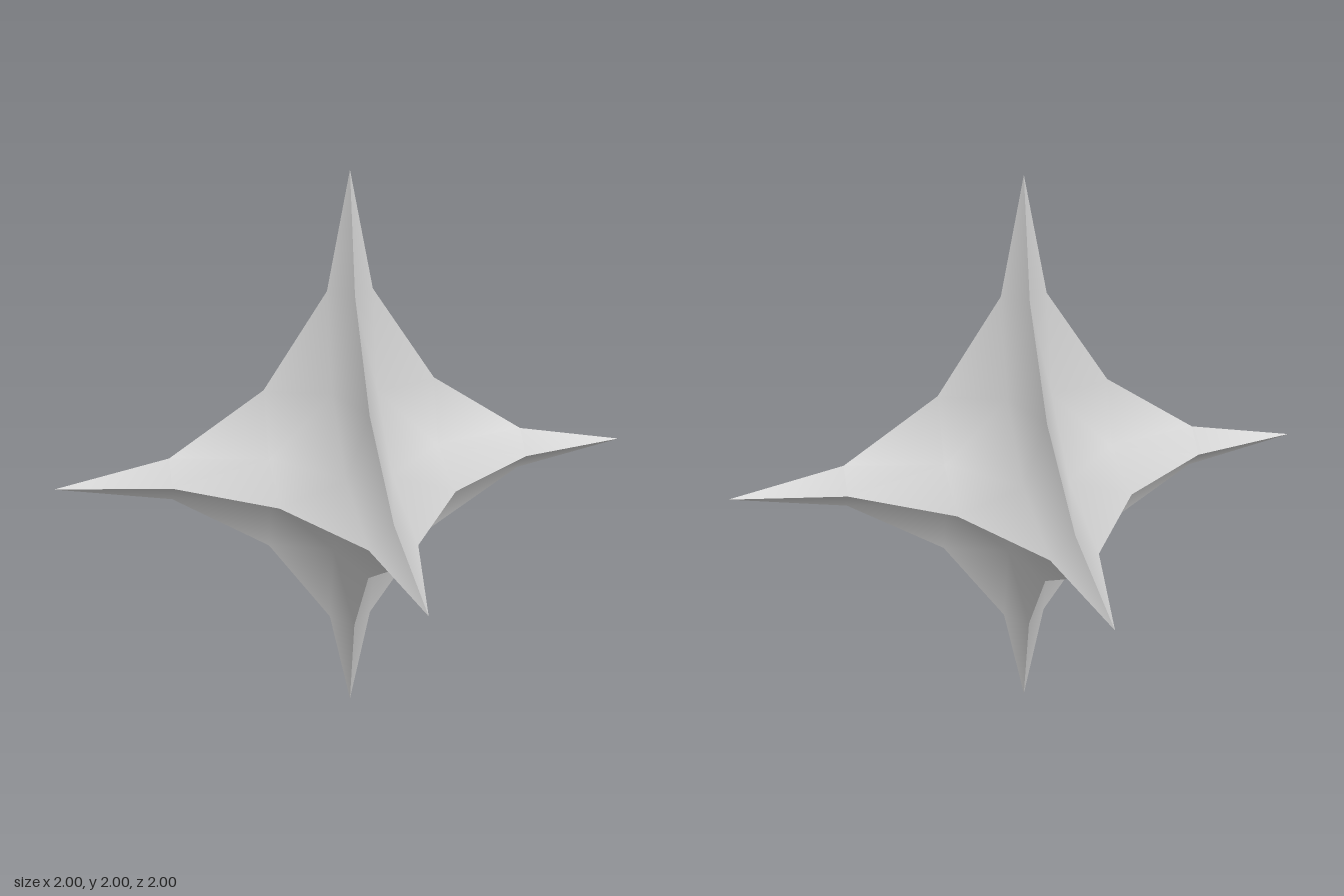
import * as THREE from 'three';

const STEPS = 4; // segments along each curved edge

// Quarter-circle profile: every edge between two tips follows it
const arc = n => 1 - Math.cos((n / STEPS) * Math.PI / 2);

// One deeply concave triangular face, mirrored into its octant by the signs
function concaveFace(sx, sy, sz) {
  const positions = [], index = [], ids = {};

  for (let i = 0; i <= STEPS; i++) {
    for (let j = 0; j <= STEPS - i; j++) {
      ids[`${i},${j}`] = positions.length / 3;
      positions.push(sx * arc(i), sy * arc(j), sz * arc(STEPS - i - j));
    }
  }

  const id = (i, j) => ids[`${i},${j}`];
  const mirrored = sx * sy * sz < 0;
  const triangle = (a, b, c) => index.push(...(mirrored ? [a, c, b] : [a, b, c]));
  for (let i = 0; i < STEPS; i++) {
    for (let j = 0; j < STEPS - i; j++) {
      triangle(id(i + 1, j), id(i, j + 1), id(i, j));
      if (i + j < STEPS - 1) triangle(id(i + 1, j), id(i + 1, j + 1), id(i, j + 1));
    }
  }

  const geometry = new THREE.BufferGeometry();
  geometry.setAttribute('position', new THREE.Float32BufferAttribute(positions, 3));
  geometry.setIndex(index);
  geometry.computeVertexNormals();
  return geometry;
}

export function createModel() {
  const group = new THREE.Group();
  group.name = 'concaveOctahedron';
  const material = new THREE.MeshStandardMaterial({ color: 0xcccccc });

  // eight smooth faces meeting at sharp edges
  for (const sx of [1, -1]) for (const sy of [1, -1]) for (const sz of [1, -1]) {
    const face = new THREE.Mesh(concaveFace(sx, sy, sz), material);
    face.name = (sy > 0 ? 'upper' : 'lower') + (sz > 0 ? 'Front' : 'Back') + (sx > 0 ? 'Left' : 'Right') + 'Face';
    face.position.y = 1;
    group.add(face);
  }
  return group;
}
